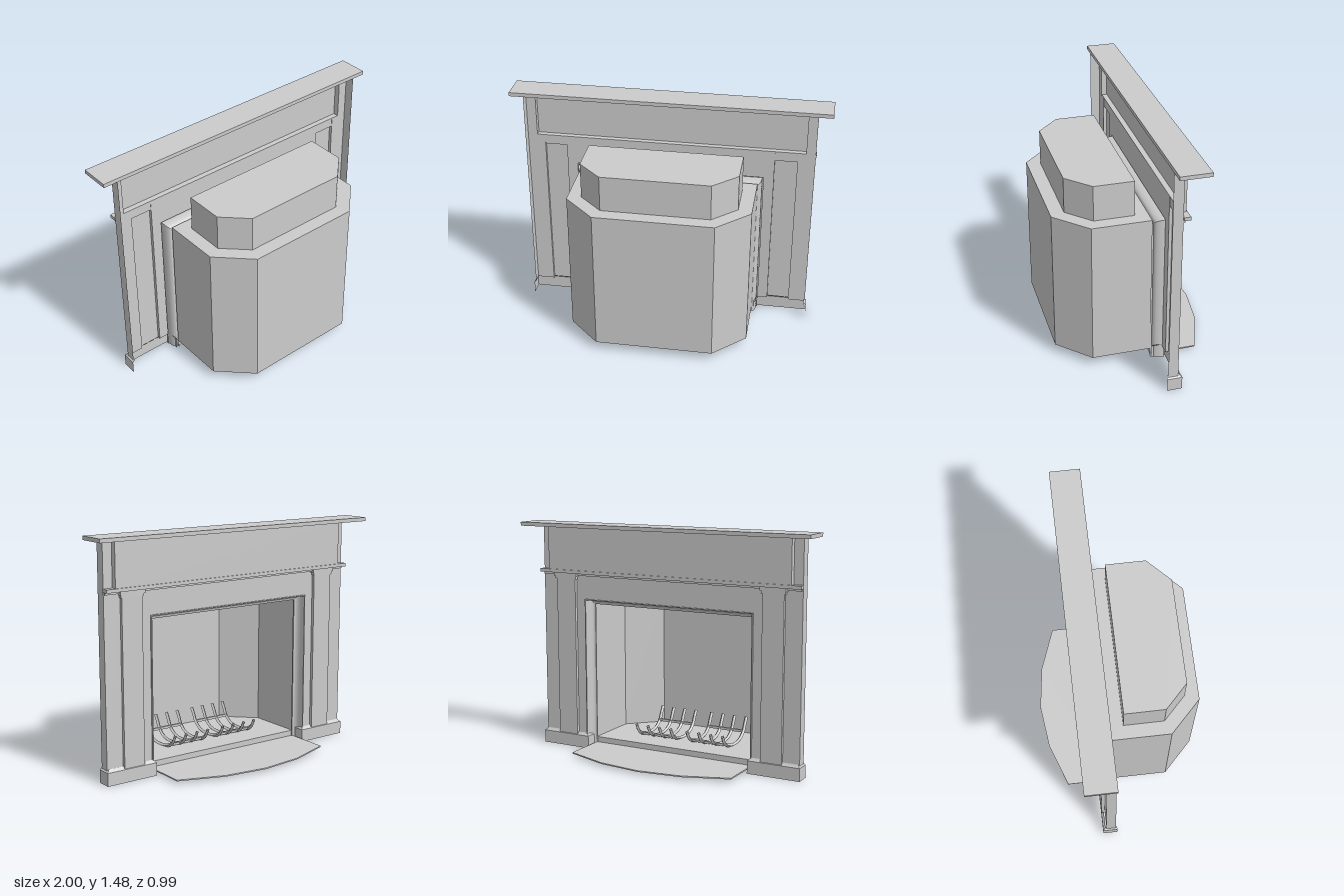
import * as THREE from 'three';
import { toCreasedNormals } from 'three/addons/utils/BufferGeometryUtils.js';

const material = new THREE.MeshStandardMaterial({ color: 0xcccccc, side: THREE.DoubleSide });

function add(parent, name, geometry) {
  const mesh = new THREE.Mesh(geometry, material);
  mesh.name = name;
  parent.add(mesh);
  return mesh;
}

// Box given by its limits on each axis
function box(parent, name, [x0, x1], [y0, y1], [z0, z1]) {
  const g = new THREE.BoxGeometry(x1 - x0, y1 - y0, z1 - z0);
  g.translate((x0 + x1) / 2, (y0 + y1) / 2, (z0 + z1) / 2);
  return add(parent, name, g);
}

// Mitred sheet: profile of [offset, height] swept along a flat path.
// The path lies in the xz plane, or in the xy plane when upright.
function sweep(path, profile, { upright = false, closed = false } = {}) {
  const n = path.length;
  const normal = (i) => {
    const a = path[i], b = path[(i + 1) % n];
    const dx = b[0] - a[0], dy = b[1] - a[1], l = Math.hypot(dx, dy);
    return [-dy / l, dx / l];
  };
  const rows = path.map((p, i) => {
    const n1 = normal(closed ? (i + n - 1) % n : Math.max(i - 1, 0));
    const n2 = normal(closed ? i : Math.min(i, n - 2));
    const k = 1 + n1[0] * n2[0] + n1[1] * n2[1];
    return profile.map(([o, h]) => {
      const a = p[0] + (o * (n1[0] + n2[0])) / k;
      const b = p[1] + (o * (n1[1] + n2[1])) / k;
      return upright ? [a, b, h] : [a, h, b];
    });
  });
  const pos = [];
  for (let i = 0; i < (closed ? n : n - 1); i++) {
    const r = rows[i], s = rows[(i + 1) % n];
    for (let j = 0; j < profile.length - 1; j++) {
      const quad = [r[j], r[j + 1], s[j + 1], r[j], s[j + 1], s[j]];
      pos.push(...(upright ? quad.reverse() : quad).flat());
    }
  }
  const g = new THREE.BufferGeometry();
  g.setAttribute('position', new THREE.Float32BufferAttribute(pos, 3));
  return toCreasedNormals(g, 0.5);
}

const outline = (pts) => new THREE.Shape(pts.map(([x, z]) => new THREE.Vector2(x, z)));
const flat = (shape, y) => new THREE.ShapeGeometry(shape).rotateX(Math.PI / 2).translate(0, y, 0);
const mirrorPath = (half) => [...half, ...half.map(([x, z]) => [-x, z]).reverse()];

export function createModel() {
  const model = new THREE.Group();
  model.name = 'fireplace';

  // Surround: hollow legs with pilasters, plinths and capitals
  const legPath = [[0.91, -0.075], [0.91, -0.137], [0.8, -0.137], [0.8, -0.157],
    [0.66, -0.157], [0.66, -0.137], [0.595, -0.137]];
  const plinthPath = [[0.91, -0.067], [0.91, -0.15], [0.585, -0.15], [0.585, -0.07]];
  for (const side of [1, -1]) {
    const leg = new THREE.Group();
    leg.name = side > 0 ? 'leftLeg' : 'rightLeg';
    leg.scale.x = side;
    model.add(leg);
    add(leg, 'pilasterPanel', sweep(legPath, [[0, 0.085], [0, 1.17]]));
    add(leg, 'plinth', sweep(plinthPath, [[0.01, 0], [0.01, 0.082], [0, 0.09], [-0.006, 0.1]]));
    box(leg, 'capitalLower', [0.652, 0.808], [1.115, 1.132], [-0.162, -0.139]);
    box(leg, 'capitalUpper', [0.645, 0.815], [1.132, 1.155], [-0.168, -0.139]);
  }

  // Lintel, cornice, frieze and shelf
  const lintel = add(model, 'lintelPanel', new THREE.PlaneGeometry(1.19, 0.18).rotateY(Math.PI));
  lintel.position.set(0, 1.08, -0.137);
  box(model, 'corniceBed', [-0.905, 0.905], [1.14, 1.155], [-0.15, -0.139]);
  box(model, 'cornice', [-0.914, 0.914], [1.155, 1.176], [-0.18, -0.139]);
  const friezePath = mirrorPath([[0.91, -0.075], [0.91, -0.137], [0.85, -0.137], [0.85, -0.173]]);
  add(model, 'frieze', sweep(friezePath, [[0, 1.17], [0, 1.456]]));
  box(model, 'mantelShelf', [-1, 1], [1.456, 1.48], [-0.265, -0.077]);

  // Moulded frame around the opening: a cove with a bead at the wall
  const frameProfile = [[0, -0.068], [0, -0.078]];
  for (let i = 0; i <= 8; i++) {
    const a = (i / 8) * Math.PI / 2;
    frameProfile.push([0.004 + 0.026 * Math.sin(a), -0.08 - 0.055 * (1 - Math.cos(a))]);
  }
  frameProfile.push([0.03, -0.147], [0.037, -0.147], [0.037, -0.137]);
  add(model, 'openingFrame', sweep([[-0.558, 0], [-0.558, 0.953], [0.558, 0.953], [0.558, 0]],
    frameProfile, { upright: true }));

  // Firebox: splayed shell, open to the room, with a throat above
  const fireboxPath = mirrorPath([[0.565, -0.068], [0.565, 0.3], [0.367, 0.493]]);
  const chamberPath = mirrorPath([[0.48, 0.015], [0.48, 0.265], [0.333, 0.407]]);
  add(model, 'fireboxWalls', sweep(fireboxPath, [[0, 0.06], [0, 0.978]]));
  add(model, 'fireboxFloor', flat(outline(fireboxPath), 0.06));
  const ceiling = outline(fireboxPath);
  ceiling.holes.push(outline(chamberPath));
  add(model, 'fireboxCeiling', flat(ceiling, 0.978));
  add(model, 'smokeChamberWalls', sweep(chamberPath, [[0, 0.978], [0, 1.205]], { closed: true }));
  add(model, 'smokeChamberTop', flat(outline(chamberPath), 1.205));

  // Hearth slab and the step up to the firebox
  const hearthShape = outline([[0.565, -0.07], [0.565, -0.36], [0.28, -0.463], [0, -0.497],
    [-0.28, -0.463], [-0.565, -0.36], [-0.565, -0.07]]);
  const hearth = new THREE.ExtrudeGeometry(hearthShape, { depth: 0.008, bevelEnabled: false });
  add(model, 'hearth', hearth.rotateX(Math.PI / 2).translate(0, 0.025, 0));
  const riser = add(model, 'hearthRiser', new THREE.PlaneGeometry(1.13, 0.043).rotateY(Math.PI));
  riser.position.set(0, 0.0385, -0.068);

  // Fire grate: two sets of four curved bars joined by rails
  const grate = new THREE.Group();
  grate.name = 'grate';
  model.add(grate);
  const barPoints = [[0.03, 0.15], [0.06, 0.1], [0.13, 0.068], [0.21, 0.06],
    [0.29, 0.076], [0.34, 0.115], [0.36, 0.155], [0.385, 0.2]];
  const curve = new THREE.CatmullRomCurve3(barPoints.map(([z, y]) => new THREE.Vector3(0, y, z)));
  const barGeometry = toCreasedNormals(new THREE.TubeGeometry(curve, 24, 0.012, 4), 0.5);
  for (const side of [1, -1]) {
    for (let i = 0; i < 4; i++) {
      add(grate, 'grateBar', barGeometry).position.x = side * (0.06 + i * 0.085);
    }
    const xs = side > 0 ? [0.06, 0.315] : [-0.315, -0.06];
    box(grate, 'rearRail', xs, [0.107, 0.123], [0.33, 0.346]);
    box(grate, 'frontRail', xs, [0.072, 0.086], [0.09, 0.104]);
  }

  return model;
}
